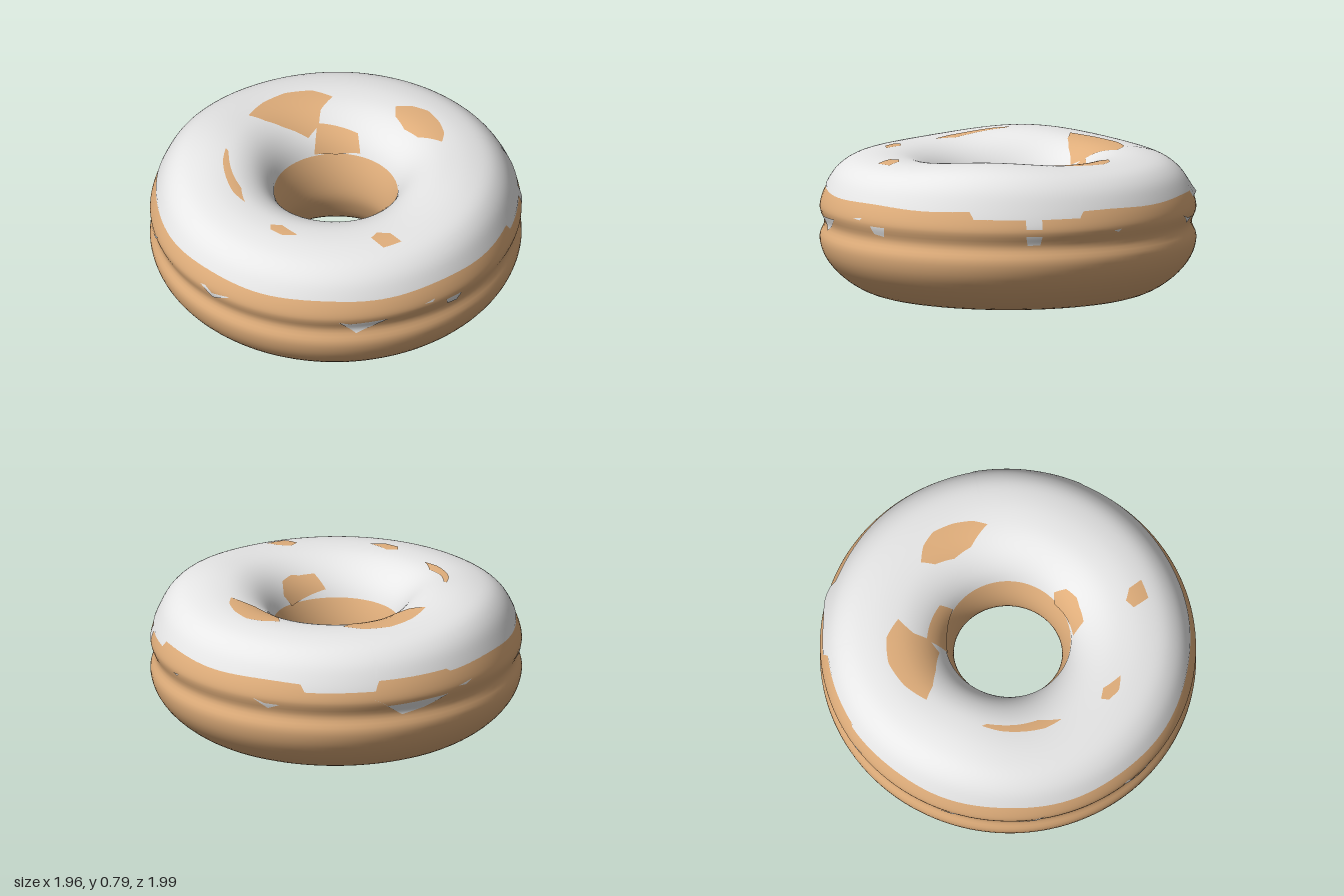
import * as THREE from 'three';

// Ring cross-section (radius, height): bottom, outer side with a groove, crest, hole
const PROFILE = [
  [0.6, 0], [0.74, 0.02], [0.87, 0.1], [0.952, 0.2], [0.978, 0.3], [0.953, 0.375],
  [0.977, 0.45], [0.97, 0.5], [0.941, 0.57], [0.893, 0.645], [0.82, 0.7], [0.72, 0.728],
  [0.62, 0.735], [0.52, 0.723], [0.43, 0.682], [0.36, 0.615], [0.315, 0.525], [0.286, 0.41],
  [0.285, 0.3], [0.32, 0.2], [0.38, 0.1], [0.48, 0.03],
];
const N = PROFILE.length;
const curve = new THREE.CatmullRomCurve3(PROFILE.map(([r, y]) => new THREE.Vector3(r, y, 0)), true);
const RAD = Math.PI / 180;

// Point on the ring; the crest swells at the two sides
function base(theta, u) {
  const p = curve.getPoint(((u % 1) + 1) % 1);
  const c = Math.cos(theta - Math.PI / 2);
  const swell = (c > 0 ? 0.034 : 0.048) * c ** 6 * THREE.MathUtils.smoothstep(p.y, 0.5, 0.74);
  return new THREE.Vector3(p.x * Math.sin(theta), Math.max(0, p.y + swell), p.x * Math.cos(theta) * 1.015);
}

// Normal taken over a wide step, which softens the groove
function normalAt(theta, u) {
  const e = 0.016;
  const dt = base(theta + e, u).sub(base(theta - e, u));
  const du = base(theta, u + e).sub(base(theta, u - e));
  return dt.cross(du).normalize();
}

// Profile parameter for a given radius (top) or height (outer side)
function solve(axis, value, from, to) {
  let a = from / N, b = to / N;
  const rising = curve.getPoint(b)[axis] > curve.getPoint(a)[axis];
  for (let i = 0; i < 22; i++) {
    const m = (a + b) / 2;
    if ((curve.getPoint(m)[axis] < value) === rising) a = m; else b = m;
  }
  return (a + b) / 2;
}
const uFromRadius = (r) => solve('x', r, 7, 17);
const uFromHeight = (y) => solve('y', y, 4, 12);

// Collects surface points lifted along the normal
function builder() {
  const pos = [], nor = [], index = [];
  return {
    index,
    add(theta, u, lift) {
      const n = normalAt(theta, u);
      pos.push(...base(theta, u).addScaledVector(n, lift).toArray());
      nor.push(...n.toArray());
      return pos.length / 3 - 1;
    },
    mesh(name, material) {
      const g = new THREE.BufferGeometry();
      g.setAttribute('position', new THREE.Float32BufferAttribute(pos, 3));
      g.setAttribute('normal', new THREE.Float32BufferAttribute(nor, 3));
      g.setIndex(index);
      const m = new THREE.Mesh(g, material);
      m.name = name;
      return m;
    },
  };
}

// Ring-shaped sheet between two profile limits
function sheet(name, material, segs, rows, limits, lift) {
  const b = builder();
  for (let i = 0; i <= segs; i++) {
    const theta = (i / segs) * Math.PI * 2;
    const [u0, u1] = limits(theta);
    for (let j = 0; j <= rows; j++) b.add(theta, u0 + (u1 - u0) * (j / rows), lift(theta, j, rows));
  }
  for (let i = 0; i < segs; i++) {
    for (let j = 0; j < rows; j++) {
      const a = i * (rows + 1) + j, c = a + rows + 1;
      b.index.push(a, c, c + 1, a, c + 1, a + 1);
    }
  }
  return b.mesh(name, material);
}

// Thin plate with a polygon outline in (theta, u), finely divided to hug the ring
function patch(name, material, outline, lift) {
  const b = builder(), n = 7;
  const pts = outline.map(([t, u]) => new THREE.Vector2(t, u));
  if (THREE.ShapeUtils.isClockWise(pts)) pts.reverse();
  for (const tri of THREE.ShapeUtils.triangulateShape(pts, [])) {
    let [p, q, r] = tri.map((k) => pts[k]);
    if (q.clone().sub(p).cross(r.clone().sub(p)) < 0) [q, r] = [r, q];
    const rows = [];
    for (let i = 0; i <= n; i++) {
      rows.push([]);
      for (let j = 0; j <= n - i; j++) {
        const s = i / n, t = j / n, w = 1 - s - t;
        rows[i].push(b.add(p.x * w + q.x * s + r.x * t, p.y * w + q.y * s + r.y * t, lift));
      }
    }
    for (let i = 0; i < n; i++) {
      for (let j = 0; j < n - i; j++) {
        b.index.push(rows[i][j], rows[i + 1][j], rows[i][j + 1]);
        if (j < n - i - 1) b.index.push(rows[i + 1][j], rows[i + 1][j + 1], rows[i][j + 1]);
      }
    }
  }
  return b.mesh(name, material);
}

// Outline seen from above (x, z) to (theta, u), unwrapped around its first corner
function fromAbove(outline) {
  let first = null;
  return outline.map(([x, z]) => {
    let t = Math.atan2(x, z);
    if (first === null) first = t;
    if (t - first > Math.PI) t -= 2 * Math.PI;
    if (first - t > Math.PI) t += 2 * Math.PI;
    return [t, uFromRadius(Math.hypot(x, z))];
  });
}

// Height of the icing's outer edge around the ring
function edgeHeight(theta) {
  const d = theta / RAD;
  if (d > 87 && d < 121) return 0.523;
  if (d > 182 && d < 206) return 0.515;
  if (d > 206 && d < 232) return 0.565;
  return 0.554 + 0.004 * Math.sin(theta * 9);
}

const BARE_SPOTS = [
  [[-0.54, -0.25], [-0.5, -0.39], [-0.41, -0.51], [-0.28, -0.57], [-0.16, -0.55], [-0.2, -0.45], [-0.19, -0.37], [-0.23, -0.3], [-0.36, -0.27], [-0.45, -0.25]],
  [[-0.2, -0.38], [0.02, -0.39], [0.05, -0.33], [-0.08, -0.315], [-0.19, -0.27]],
  [[0.18, -0.55], [0.27, -0.57], [0.36, -0.55], [0.44, -0.47], [0.49, -0.38], [0.5, -0.3], [0.36, -0.34], [0.27, -0.4], [0.2, -0.48]],
  [[-0.58, 0.07], [-0.57, 0.17], [-0.52, 0.29], [-0.46, 0.38], [-0.38, 0.44], [-0.43, 0.33], [-0.5, 0.24], [-0.56, 0.09]],
  [[-0.2, 0.59], [-0.14, 0.58], [-0.04, 0.64], [-0.12, 0.66], [-0.19, 0.63]],
  [[0.36, 0.52], [0.43, 0.51], [0.5, 0.55], [0.42, 0.62], [0.34, 0.57]],
  [[0.28, 0.16], [0.32, 0.14], [0.34, 0.2], [0.31, 0.27], [0.27, 0.3], [0.2, 0.35], [0.13, 0.32], [0.22, 0.25]],
];

// Icing flecks on the outer side: (degrees from the front, height)
const FLECKS = [
  [[15.5, 0.445], [19, 0.43], [31, 0.44], [26, 0.395], [21, 0.355]],
  [[51, 0.45], [57, 0.45], [56, 0.4], [52, 0.41]],
  [[-32, 0.475], [-30, 0.48], [-27, 0.455], [-20, 0.48], [-23, 0.455], [-27, 0.425]],
  [[-67, 0.45], [-63, 0.45], [-58, 0.48], [-62, 0.42], [-64, 0.39], [-67, 0.41]],
  [[43, 0.475], [47, 0.485], [46, 0.47]],
  [[103.5, 0.54], [108.5, 0.54], [108.5, 0.475], [103.5, 0.475]],
  [[103.5, 0.44], [108.5, 0.44], [108, 0.39], [104, 0.39]],
  [[132, 0.45], [135, 0.455], [134, 0.44]],
  [[166, 0.46], [170, 0.44], [175, 0.44], [171, 0.41]],
  [[204, 0.48], [209, 0.435], [230, 0.445], [222, 0.395], [214, 0.37]],
  [[234, 0.47], [240, 0.485], [237, 0.465]],
  [[268, 0.44], [276, 0.47], [272, 0.43]],
];

export function createModel() {
  const dough = new THREE.MeshStandardMaterial({ color: 0xe0ae7b });
  dough.name = 'golden dough';
  const icing = new THREE.MeshStandardMaterial({ color: 0xe8e8e8 });
  icing.name = 'white icing';

  const group = new THREE.Group();
  group.name = 'ringDoughnut';
  group.add(sheet('doughRing', dough, 128, 88, () => [0, 1], () => 0));

  // Icing cap: edges tuck into the dough, with one small bulge at the back
  const innerEdge = uFromRadius(0.325);
  group.add(sheet('icingCap', icing, 256, 40,
    (t) => [uFromHeight(edgeHeight(t)), innerEdge],
    (t, j, rows) => {
      if (j === 0 || j === rows) return -0.001;
      const bulge = 0.02 * Math.exp(-(((t / RAD - 187) / 5) ** 2)) * Math.exp(-j / 3);
      return 0.005 + bulge;
    }));

  BARE_SPOTS.forEach((o, i) => group.add(patch('bareSpot' + (i + 1), dough, fromAbove(o), 0.008)));
  FLECKS.forEach((o, i) => group.add(patch('icingFleck' + (i + 1), icing,
    o.map(([d, y]) => [d * RAD, uFromHeight(y)]), 0.004)));
  return group;
}
